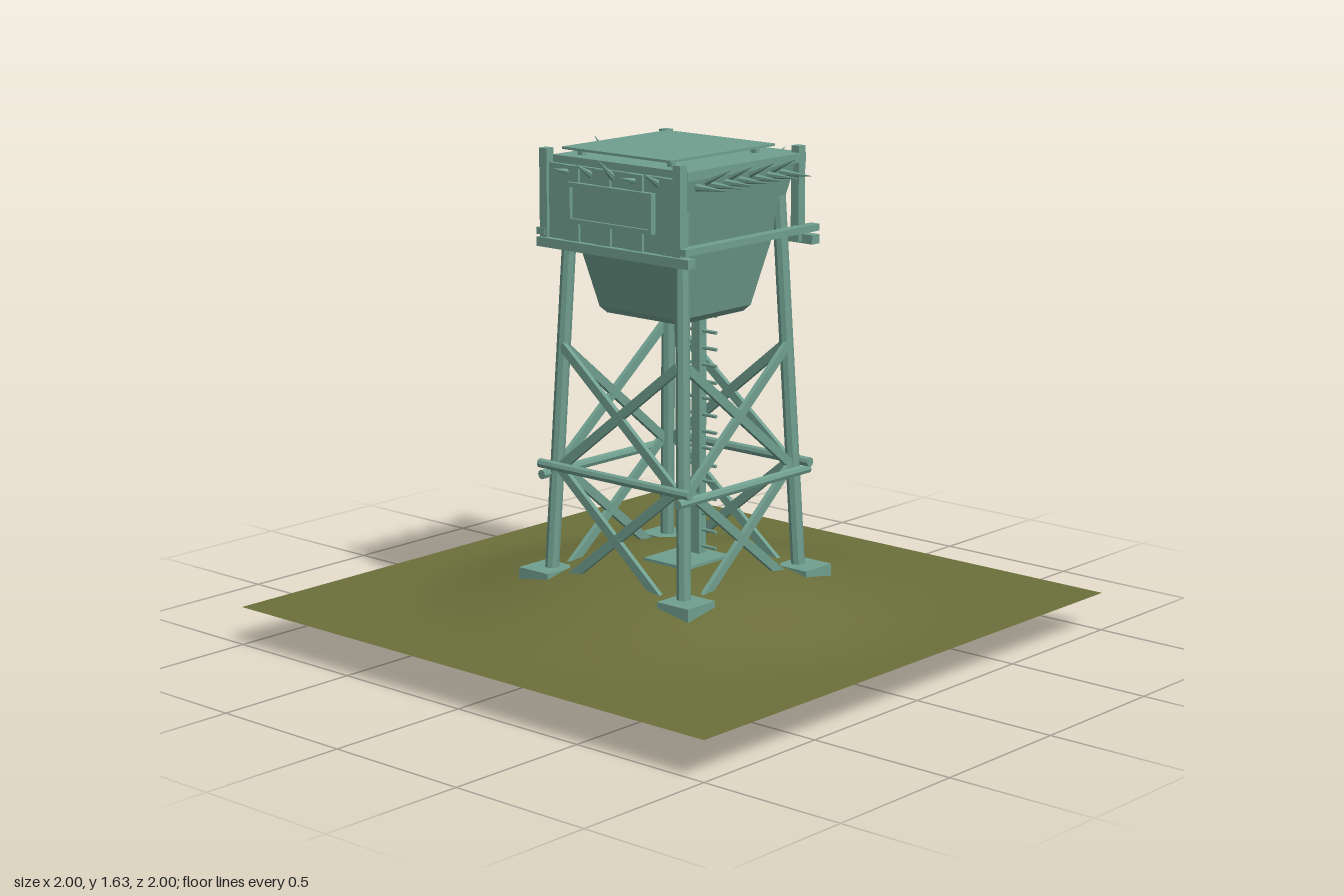
import * as THREE from 'three';

const V = (x, y, z) => new THREE.Vector3(x, y, z);

export function createModel() {
  const model = new THREE.Group();
  model.name = 'watchtower';
  const paint = new THREE.MeshStandardMaterial({ color: 0x709f8f, flatShading: true });
  paint.name = 'weathered green';
  const grass = new THREE.MeshStandardMaterial({ color: 0x6b6f3a, side: THREE.DoubleSide });
  grass.name = 'olive ground';

  const add = (name, geo, mat = paint) => {
    const m = new THREE.Mesh(geo, mat);
    m.name = name;
    model.add(m);
    return m;
  };
  // Box given by its minimum and maximum on each axis
  const box = (name, x0, x1, y0, y1, z0, z1) =>
    add(name, new THREE.BoxGeometry(x1 - x0, y1 - y0, z1 - z0))
      .position.set((x0 + x1) / 2, (y0 + y1) / 2, (z0 + z1) / 2);
  // Round bar or spike between two points
  const bar = (name, a, b, r0, r1 = r0, sides = 8) => {
    const d = b.clone().sub(a);
    const m = add(name, new THREE.CylinderGeometry(r1, r0, d.length(), sides));
    m.position.copy(a).addScaledVector(d, 0.5);
    m.quaternion.setFromUnitVectors(V(0, 1, 0), d.normalize());
  };
  // Flat timber between two points
  const timber = (name, a, b, w, t) => {
    const d = b.clone().sub(a);
    const m = add(name, new THREE.BoxGeometry(w, t, d.length()));
    m.position.copy(a).addScaledVector(d, 0.5);
    m.lookAt(b);
  };

  // Ground with a low mound
  const ground = new THREE.PlaneGeometry(2, 2, 48, 48).rotateX(-Math.PI / 2);
  const p = ground.attributes.position;
  for (let i = 0; i < p.count; i++) {
    const r = Math.hypot(p.getX(i), p.getZ(i));
    p.setY(i, 0.13 + 0.135 * (1 - THREE.MathUtils.smoothstep(r, 0.2, 0.9)));
  }
  ground.computeVertexNormals();
  add('ground', ground, grass);

  // Footings, legs and corner posts
  for (const sx of [-1, 1]) for (const sz of [-1, 1]) {
    const fx = sx * 0.29 - 0.005, fz = sz * 0.303 + 0.005;
    box('footing', fx - 0.065, fx + 0.065, 0.03, 0.25, fz - 0.065, fz + 0.065);
    bar('leg', V(sx * 0.292, 0.004, sz * 0.298), V(sx * 0.233, 1.47, sz * 0.235), 0.023);
    const px = sx * 0.285 - 0.005, pz = sz * 0.283 - 0.007;
    box('cornerPost', px - 0.016, px + 0.016, 1.32, 1.63, pz - 0.016, pz + 0.016);
  }

  // Bracing and horizontal beams on each pair of sides
  for (const s of [-1, 1]) {
    for (const d of [-1, 1]) {
      const o = s * 0.265, q = s * 0.28;
      timber('upperBraceX', V(-0.25 * d, 0.99, o), V(0.25 * d, 0.59, o + s * 0.012), 0.016, 0.03);
      timber('upperBraceZ', V(o, 0.99, -0.25 * d), V(o + s * 0.012, 0.59, 0.25 * d), 0.016, 0.03);
      timber('lowerBraceX', V(-0.25 * d, 0.59, q), V(0.26 * d, 0.18, q + s * 0.012), 0.016, 0.03);
      timber('lowerBraceZ', V(q, 0.59, -0.25 * d), V(q + s * 0.012, 0.18, 0.26 * d), 0.016, 0.03);
    }
    bar('lowerBeamX', V(-0.32, 0.565, s * 0.295), V(0.32, 0.565, s * 0.295), 0.016);
    bar('lowerBeamZ', V(s * 0.295, 0.595, -0.325), V(s * 0.295, 0.595, 0.325), 0.016);
    const z = s * 0.3, x = s * 0.3;
    box('platformBeamX', -0.31, 0.34, 1.352, 1.374, z - 0.018, z + 0.018);
    box('platformBeamZ', x - 0.018, x + 0.018, 1.315, 1.345, -0.31, 0.335);
  }

  // Tapered cabin hull with a small chamfer at its base
  const rings = [[1.095, 0.155], [1.115, 0.172], [1.585, 0.275]];
  const hull = new THREE.LatheGeometry(
    [[0, 1.095], ...rings.map(([y, h]) => [h, y]), [0, 1.585]]
      .map(([a, y]) => new THREE.Vector2(a * Math.SQRT2, y)), 4);
  hull.rotateY(Math.PI / 4);
  add('cabinHull', hull);

  // Roof slab and raised roof plate
  box('roof', -0.275, 0.295, 1.578, 1.608, -0.275, 0.295);
  box('roofPlate', -0.27, 0.23, 1.628, 1.636, -0.24, 0.22);
  for (const x of [-0.22, 0.18]) for (const z of [-0.2, 0.18])
    box('roofSpacer', x - 0.01, x + 0.01, 1.6, 1.63, z - 0.01, z + 0.01);

  // Plank walls on the back and one side
  for (let i = 0; i < 8; i++) {
    const a = -0.275 + i * 0.068, out = (i % 2) * 0.006;
    box('backPlank', a, a + 0.065, 1.34, 1.585, -0.292 - out, -0.277);
    box('sidePlank', -0.295 - out, -0.28, 1.34, 1.585, a, a + 0.065);
  }

  // Hatch and framed shutter
  box('backHatch', -0.06, 0.06, 1.43, 1.53, -0.306, -0.29);
  box('sideShutter', -0.307, -0.29, 1.42, 1.52, -0.16, 0.16);
  for (const y of [1.405, 1.52]) {
    box('shutterRail', -0.314, -0.29, y, y + 0.014, -0.18, 0.18);
    box('hatchRail', -0.075, 0.075, y + 0.012, y + 0.026, -0.313, -0.29);
  }
  for (const c of [-1, 1]) {
    box('shutterStile', -0.314, -0.29, 1.41, 1.53, c * 0.173 - 0.007, c * 0.173 + 0.007);
    box('hatchStile', c * 0.068 - 0.007, c * 0.068 + 0.007, 1.42, 1.54, -0.313, -0.29);
  }

  // Rows of spikes around the rim
  for (let i = 0; i < 7; i++) {
    const a = -0.2 + i * 0.068;
    bar('frontSpike', V(a, 1.55, 0.26), V(a, 1.55, 0.39), 0.013, 0.001, 6);
  }
  for (let i = 0; i < 5; i++) {
    const a = -0.18 + i * 0.09;
    bar('sideSpike', V(0.26, 1.55, a), V(0.365, 1.55, a), 0.013, 0.001, 6);
  }
  for (let i = 0; i < 4; i++) {
    const a = -0.155 + i * 0.105;
    bar('frontUpperSpike', V(a, 1.56, 0.26), V(a + 0.005, 1.605, 0.36), 0.013, 0.001, 6);
    bar('sideUpperSpike', V(0.26, 1.56, a), V(0.36, 1.605, a - 0.005), 0.013, 0.001, 6);
  }
  for (let i = 0; i < 5; i++) {
    const a = -0.225 + i * 0.112, lift = (i % 3) * 0.022;
    bar('backSpike', V(a, 1.56, -0.28), V(a + 0.015, 1.585 + lift, -0.365), 0.013, 0.001, 6);
    bar('leftSpike', V(-0.285, 1.56, a * 0.85), V(-0.36, 1.58 + lift, a * 0.85), 0.013, 0.001, 6);
  }

  // Peg ladder and its base block
  box('ladderPole', 0.082, 0.116, 0.2, 1.11, -0.003, 0.032);
  for (let i = 0; i < 15; i++) {
    const y = 0.3 + i * 0.0555;
    bar('ladderRung', V(0.099, y, -0.072), V(0.099, y, 0.09), 0.006, 0.006, 6);
  }
  box('ladderBase', -0.07, 0.145, 0.12, 0.275, -0.075, 0.11);

  return model;
}
